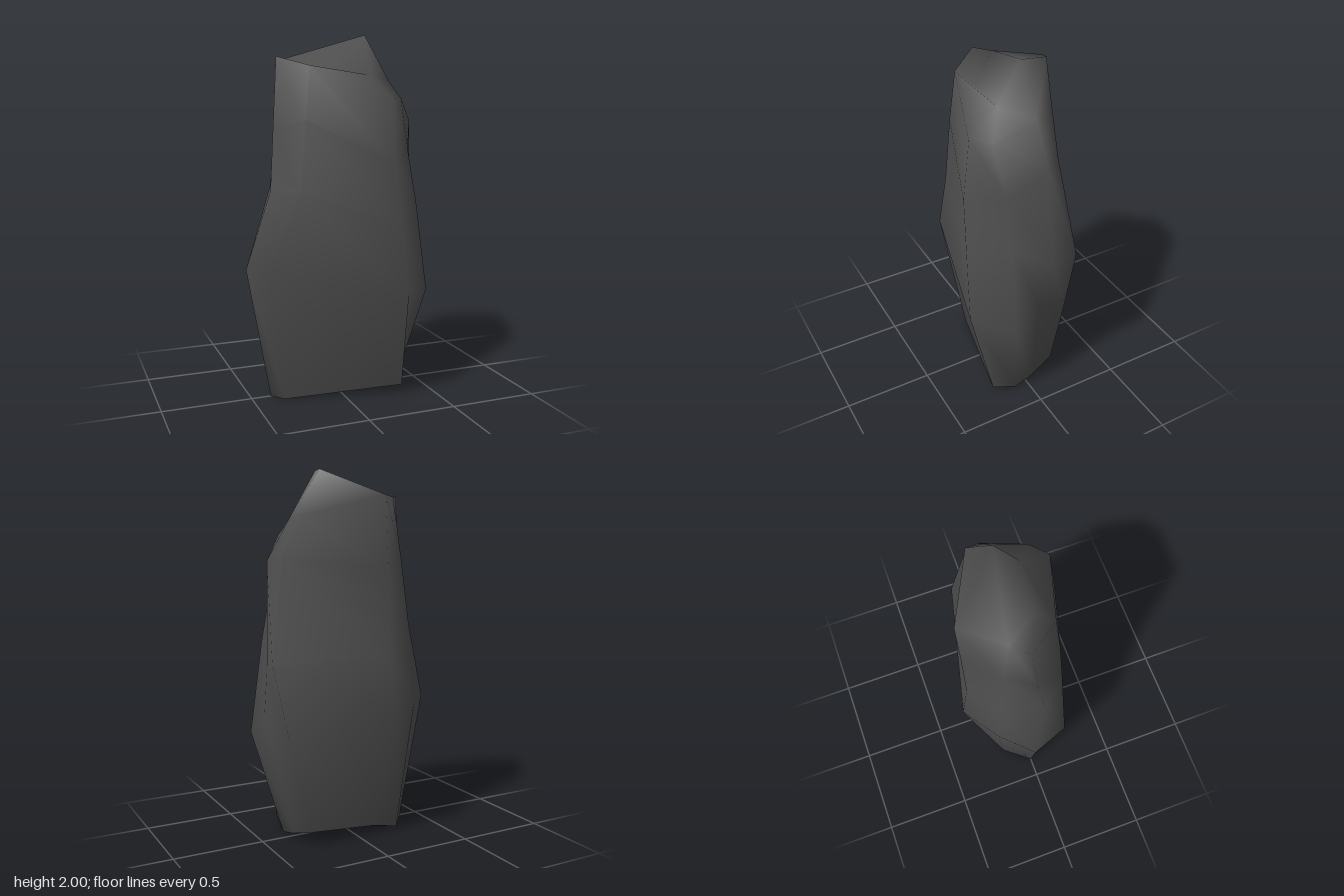
import * as THREE from 'three';

// Vertical ridges of the boulder, anticlockwise from above; each runs from foot to rim.
const RIDGES = [
  [[-0.33, 0, 0.07], [-0.44, 0.76, 0.17], [-0.27, 1.17, 0.195], [-0.23, 1.55, 0.175], [-0.2, 1.83, 0.15]],
  [[0.32, 0.05, 0.22], [0.295, 0.61, 0.345], [0.25, 1.0, 0.334], [0.215, 1.33, 0.325], [0.21, 1.66, 0.285]],
  [[0.34, 0, 0.08], [0.49, 0.58, 0.17], [0.425, 1.08, 0.155], [0.365, 1.38, 0.16], [0.3, 1.66, 0.2]],
  [[0.33, 0.03, -0.04], [0.47, 0.7, 0.02], [0.48, 0.97, -0.05], [0.46, 1.53, -0.02], [0.33, 1.75, -0.02]],
  [[0.29, 0.08, -0.195], [0.41, 0.57, -0.188], [0.505, 1.0, -0.18], [0.41, 1.56, -0.1], [0.31, 1.77, -0.12]],
  [[-0.1, 0.05, -0.195], [-0.14, 0.73, -0.345], [-0.12, 1.03, -0.3], [-0.11, 1.5, -0.3], [-0.09, 1.87, -0.303]],
  [[-0.27, 0, -0.15], [-0.35, 0.73, -0.2], [-0.33, 1.17, -0.165], [-0.29, 1.55, -0.14], [-0.26, 1.87, -0.1]],
  [[-0.39, 0, 0], [-0.51, 0.73, -0.035], [-0.39, 1.17, 0.05], [-0.36, 1.5, 0.01], [-0.33, 1.88, -0.02]],
];

function boulderGeometry() {
  const count = RIDGES.length, levels = RIDGES[0].length;
  const points = RIDGES.flat();
  const at = (ridge, level) => (ridge % count) * levels + level;
  const add = (p) => points.push(p) - 1;
  const index = [];

  // Sides
  for (let i = 0; i < count; i++) {
    for (let j = 0; j < levels - 1; j++) {
      const a = at(i, j), b = at(i + 1, j), c = at(i + 1, j + 1), d = at(i, j + 1);
      index.push(a, b, d, b, c, d);
    }
  }

  // Underside
  const base = add([0, 0, 0]);
  for (let i = 0; i < count; i++) index.push(at(i + 1, 0), at(i, 0), base);

  // Slanted top: a short peak edge at the back and a shallow notch in front of it
  const peakFront = add([0.18, 2, -0.02]);
  const peakBack = add([0.21, 2, -0.14]);
  const notchRight = add([0.17, 1.78, 0.11]);
  const notchLeft = add([-0.1, 1.78, 0.09]);
  const [e, d, c, k, b, a, g, f] = RIDGES.map((_, i) => at(i, levels - 1));
  index.push(
    d, c, notchRight, c, k, notchRight, k, peakFront, notchRight,
    k, peakBack, peakFront, k, b, peakBack, b, a, peakBack,
    a, peakFront, peakBack, a, g, peakFront,
    peakFront, g, notchLeft, peakFront, notchLeft, notchRight,
    e, d, notchRight, e, notchRight, notchLeft, f, e, notchLeft, g, f, notchLeft,
  );

  const geometry = new THREE.BufferGeometry();
  geometry.setAttribute('position', new THREE.Float32BufferAttribute(points.flat(), 3));
  geometry.setIndex(index);
  geometry.computeVertexNormals();
  return geometry;
}

export function createModel() {
  const stone = new THREE.MeshStandardMaterial({ color: 0x505050 });
  stone.name = 'darkStone';
  const boulder = new THREE.Mesh(boulderGeometry(), stone);
  boulder.name = 'boulder';
  const model = new THREE.Group();
  model.name = 'standingRock';
  model.add(boulder);
  return model;
}
